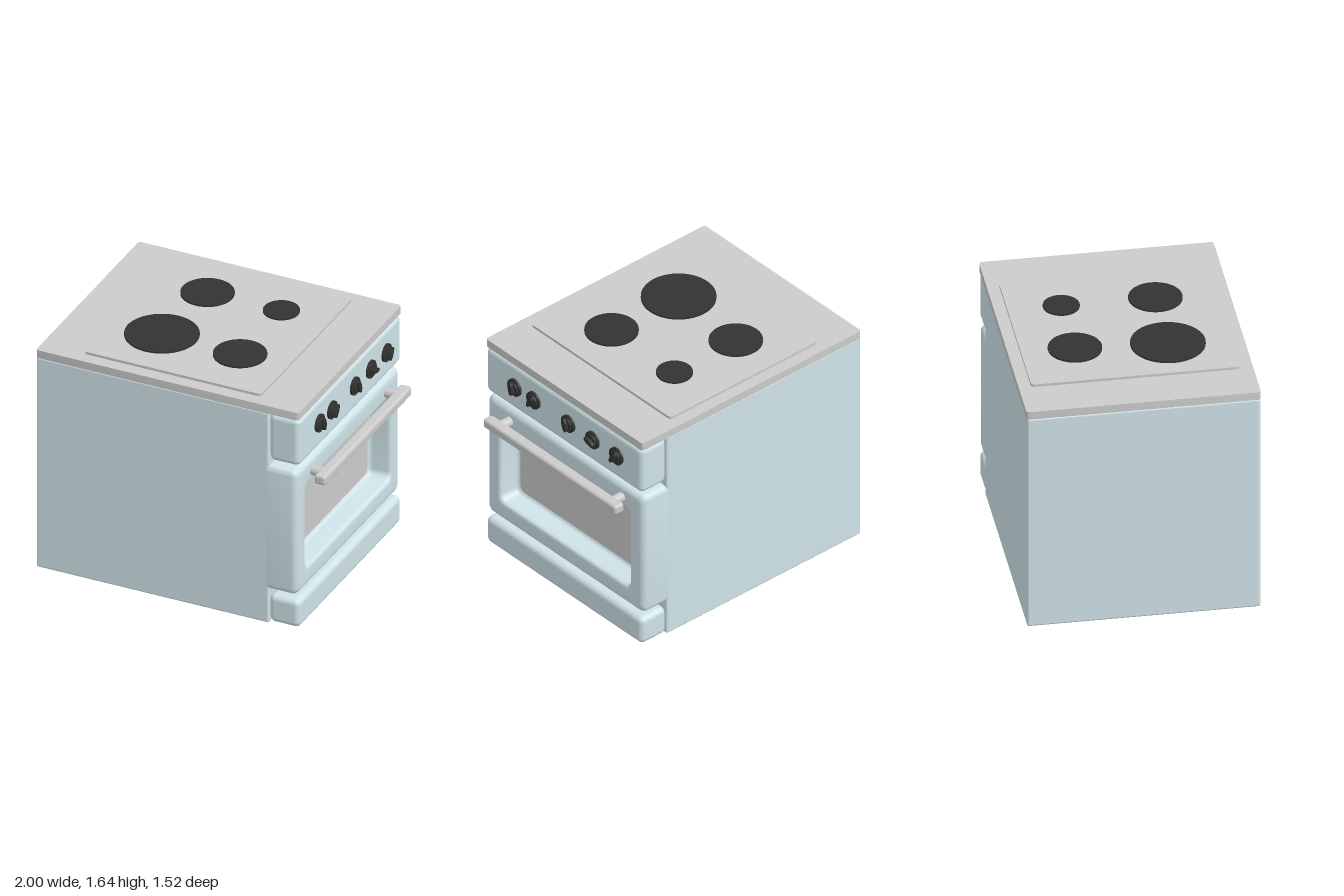
import * as THREE from 'three';
import { RoundedBoxGeometry } from 'three/addons/geometries/RoundedBoxGeometry.js';
import { toCreasedNormals } from 'three/addons/utils/BufferGeometryUtils.js';

const enamel = new THREE.MeshStandardMaterial({ color: 0xcfe3e8 });
const grey = new THREE.MeshStandardMaterial({ color: 0xcccccc });
const black = new THREE.MeshStandardMaterial({ color: 0x333333 });

// Rounded box given by its extents on each axis
function block(name, mat, [x0, x1], [y0, y1], [z0, z1], radius) {
  const geo = new RoundedBoxGeometry(x1 - x0, y1 - y0, z1 - z0, 4, radius);
  const mesh = new THREE.Mesh(geo, mat);
  mesh.position.set((x0 + x1) / 2, (y0 + y1) / 2, (z0 + z1) / 2);
  mesh.name = name;
  return mesh;
}

// Plate lying flat, with rounded corners in plan
function plate(name, mat, [x0, x1], [y0, y1], [z0, z1], r) {
  const s = new THREE.Shape(rectPoints((x1 - x0) / 2, z0, z1, r));
  const geo = new THREE.ExtrudeGeometry(s, { depth: y1 - y0, bevelEnabled: false });
  geo.rotateX(Math.PI / 2);
  const mesh = new THREE.Mesh(toCreasedNormals(geo, 0.6), mat);
  mesh.position.set((x0 + x1) / 2, y1, 0);
  mesh.name = name;
  return mesh;
}

// Rounded rectangle, counterclockwise
function rectPoints(hw, v0, v1, r, n = 6) {
  const pts = [];
  const centres = [[hw - r, v1 - r], [r - hw, v1 - r], [r - hw, v0 + r], [hw - r, v0 + r]];
  centres.forEach(([u, v], c) => {
    for (let i = 0; i <= n; i++) {
      const a = (c + i / n) * Math.PI / 2;
      pts.push(new THREE.Vector2(u + r * Math.cos(a), v + r * Math.sin(a)));
    }
  });
  return pts;
}

// Skin through rounded rectangles [x, halfWidth, y0, y1, radius]
function loft(rows) {
  const pos = [], idx = [];
  rows.forEach(([x, ...rect]) => rectPoints(...rect).forEach(p => pos.push(x, p.y, -p.x)));
  const n = pos.length / 3 / rows.length;
  for (let i = 0; i < rows.length - 1; i++) {
    for (let j = 0; j < n; j++) {
      const k = (j + 1) % n, a = i * n, b = a + n;
      idx.push(a + j, a + k, b + k, a + j, b + k, b + j);
    }
  }
  const geo = new THREE.BufferGeometry();
  geo.setAttribute('position', new THREE.Float32BufferAttribute(pos, 3));
  geo.setIndex(idx);
  return toCreasedNormals(geo, 0.6);
}

function makeDoor() {
  const door = new THREE.Group();
  door.name = 'ovenDoor';
  const rows = [[0.64, 0.76, 0.25, 1.17, 0.04]];
  const steps = 6;
  // outer front edge
  for (let i = 0; i <= steps; i++) {
    const a = i / steps * Math.PI / 2, d = 0.045 * (1 - Math.cos(a));
    rows.push([0.815 + 0.045 * Math.sin(a), 0.76 - d, 0.25 + d, 1.17 - d, 0.04]);
  }
  // rim of the window recess
  for (let i = 0; i <= steps; i++) {
    const a = i / steps * Math.PI / 2, d = 0.025 * Math.sin(a);
    rows.push([0.835 + 0.025 * Math.cos(a), 0.655 - d, 0.37 + d, 1.035 - d, 0.05]);
  }
  // coved foot of the recess, running to the glass
  for (let i = 0; i <= steps; i++) {
    const a = i / steps * Math.PI / 2, d = 0.025 * (1 - Math.cos(a));
    rows.push([0.73 - 0.03 * Math.sin(a), 0.63 - d, 0.395 + d, 1.01 - d, 0.04]);
  }
  const frame = new THREE.Mesh(loft(rows), enamel);
  frame.name = 'doorFrame';
  door.add(frame);
  door.add(block('windowGlass', grey, [0.66, 0.701], [0.4, 1.02], [-0.63, 0.63], 0.002));

  // handle bar on two posts
  door.add(block('handleBar', grey, [0.92, 1], [1.04, 1.11], [-0.65, 0.64], 0.02));
  for (const z of [-0.555, 0.535]) {
    const post = new THREE.Mesh(new THREE.CylinderGeometry(0.034, 0.034, 0.1, 24), grey);
    post.rotation.z = Math.PI / 2;
    post.position.set(0.9, 1.078, z);
    post.name = 'handlePost';
    door.add(post);
  }
  return door;
}

function makeKnob(z, angle) {
  const knob = new THREE.Group();
  knob.name = 'knob';
  for (const [r, x0, x1] of [[0.062, -0.01, 0.018], [0.045, 0.01, 0.03]]) {
    const disc = new THREE.Mesh(new THREE.CylinderGeometry(r, r, x1 - x0, 32), black);
    disc.rotation.z = Math.PI / 2;
    disc.position.x = (x0 + x1) / 2;
    disc.name = 'knobDisc';
    knob.add(disc);
  }
  // oval finger grip
  const grip = new THREE.Mesh(new THREE.CylinderGeometry(0.045, 0.045, 0.03, 24), black);
  grip.rotation.z = Math.PI / 2;
  grip.scale.z = 0.4;
  grip.position.x = 0.036;
  grip.name = 'knobGrip';
  knob.add(grip);
  knob.position.set(0.87, 1.393, z);
  knob.rotation.x = angle;
  return knob;
}

export function createModel() {
  const stove = new THREE.Group();
  stove.name = 'stove';

  stove.add(block('body', enamel, [-1, 0.655], [0, 1.56], [-0.76, 0.757], 0.015));
  stove.add(block('drawer', enamel, [0.655, 0.872], [0.01, 0.213], [-0.76, 0.757], 0.04));
  stove.add(block('controlPanel', enamel, [0.655, 0.872], [1.21, 1.558], [-0.76, 0.757], 0.04));
  stove.add(makeDoor());

  // cooktop, hob plate and burners
  stove.add(plate('cooktop', grey, [-1, 0.868], [1.558, 1.615], [-0.765, 0.76], 0.02));
  stove.add(plate('hobPlate', grey, [-0.7, 0.56], [1.61, 1.633], [-0.685, 0.672], 0.025));
  const burners = [[-0.305, -0.335, 0.175], [0.22, -0.337, 0.119], [-0.342, 0.263, 0.243], [0.22, 0.275, 0.175]];
  for (const [x, z, r] of burners) {
    const burner = new THREE.Mesh(new THREE.CylinderGeometry(r, r, 0.018, 64), black);
    burner.position.set(x, 1.636, z);
    burner.name = 'burner';
    stove.add(burner);
  }

  const knobs = [[0.467, 0.1], [0.282, -0.5], [-0.055, 0.25], [-0.292, 1.25], [-0.523, -0.5]];
  for (const [z, angle] of knobs) stove.add(makeKnob(z, angle));

  return stove;
}
